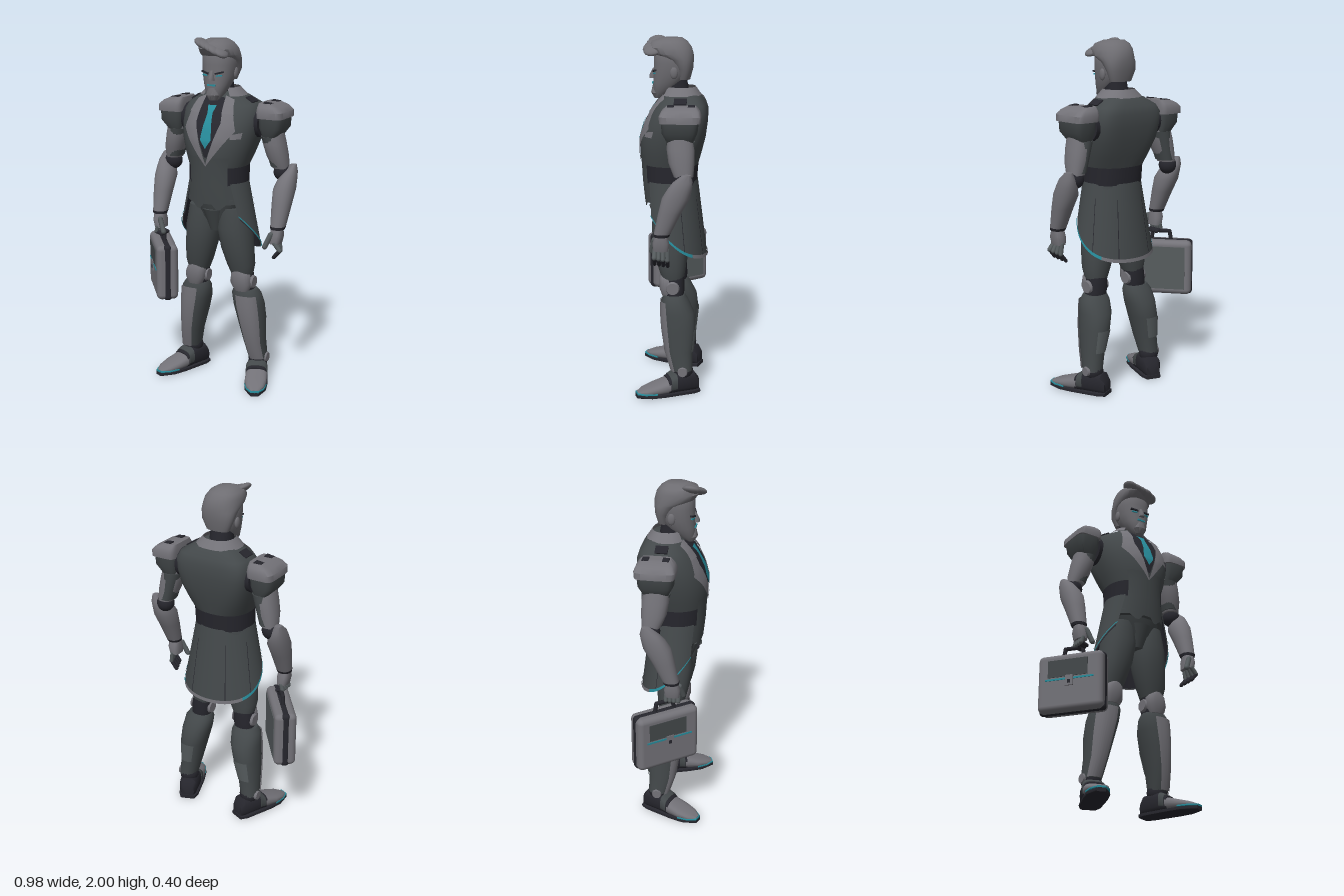
import * as THREE from 'three';
import { toCreasedNormals } from 'three/addons/utils/BufferGeometryUtils.js';
import { RoundedBoxGeometry } from 'three/addons/geometries/RoundedBoxGeometry.js';

const mat = (name, color) => {
  const m = new THREE.MeshStandardMaterial({ color, side: THREE.DoubleSide });
  m.name = name;
  return m;
};
const M = {
  suit: mat('suit charcoal', 0x43484a), light: mat('light grey', 0x737278), dark: mat('near black', 0x26262d),
  teal: mat('teal', 0x278c9b), skin: mat('skin grey', 0x6e6d72), panel: mat('panel grey', 0x565c5e),
};

function add(parent, name, geo, material, pos = [0, 0, 0], rot = [0, 0, 0]) {
  const mesh = new THREE.Mesh(geo, material);
  mesh.name = name;
  mesh.position.set(...pos);
  mesh.rotation.set(...rot);
  parent.add(mesh);
  return mesh;
}

function gridGeo(f, nu, nv, caps = false) {
  const pos = [], idx = [], w = nu + 1;
  for (let j = 0; j <= nv; j++) for (let i = 0; i <= nu; i++) pos.push(...f(i / nu, j / nv, j));
  for (let j = 0; j < nv; j++) for (let i = 0; i < nu; i++) {
    const a = j * w + i, b = a + 1, c = b + w, d = a + w;
    idx.push(a, b, c, a, c, d);
  }
  if (caps) for (let i = 1; i < nu - 1; i++) {
    const t = nv * w;
    idx.push(0, i + 1, i, t, t + i, t + i + 1);
  }
  const g = new THREE.BufferGeometry();
  g.setAttribute('position', new THREE.Float32BufferAttribute(pos, 3));
  g.setIndex(idx);
  return toCreasedNormals(g, 0.75);
}

// Rings go upward: [y, centre x, half width, back z, front z, squareness of the back]
const ringPoint = ([y, cx, rx, zb, zf, pb], a, p, grow = 0) => {
  const s = Math.sin(a), c = Math.cos(a), e = 2 / (c < 0 && pb ? pb : p);
  return [cx + (rx + grow) * Math.sign(s) * Math.abs(s) ** e, y,
    (zb + zf) / 2 + ((zf - zb) / 2 + grow) * Math.sign(c) * Math.abs(c) ** e];
};
function loft(rings, { n = 20, p = 2.3, from = 0, to = Math.PI * 2, grow = 0 } = {}) {
  const closed = to - from > 6.2;
  return gridGeo((u, v, j) => ringPoint(rings[j], from + (to - from) * u, p, grow), n, rings.length - 1, closed);
}
const mirror = (rings, s) => rings.map(([y, cx, ...r]) => [y, cx * s, ...r]);

// Capsule between two points
function rod(parent, name, a, b, r, material) {
  const A = new THREE.Vector3(...a), B = new THREE.Vector3(...b), d = B.clone().sub(A);
  const m = add(parent, name, new THREE.CapsuleGeometry(r, d.length(), 3, 8), material, A.clone().add(B).multiplyScalar(0.5).toArray());
  m.quaternion.setFromUnitVectors(new THREE.Vector3(0, 1, 0), d.normalize());
}

const TORSO = [
  [1.09, 0, 0.185, -0.13, 0.16, 2.3], [1.2, 0, 0.17, -0.13, 0.172, 2.3], [1.3, 0, 0.17, -0.138, 0.178, 2.4],
  [1.36, 0, 0.19, -0.155, 0.185, 3], [1.45, 0, 0.215, -0.178, 0.185, 4], [1.53, 0, 0.226, -0.188, 0.162, 4.5],
  [1.6, 0, 0.226, -0.19, 0.125, 4.5], [1.64, 0, 0.205, -0.178, 0.095, 4], [1.68, 0, 0.14, -0.15, 0.06, 3], [1.71, 0, 0.09, -0.12, 0.045, 2.3],
];
const CHEST_P = 2.1;
// Height of the chest surface, used to lay cloth patches on it
function chestZ(x, y) {
  let k = 0;
  while (k < TORSO.length - 2 && TORSO[k + 1][0] < y) k++;
  const A = TORSO[k], B = TORSO[k + 1], t = (y - A[0]) / (B[0] - A[0]);
  const [, , rx, zb, zf] = A.map((v, i) => v + (B[i] - v) * t);
  return (zb + zf) / 2 + ((zf - zb) / 2) * (Math.max(0, 1 - Math.abs(x / rx) ** CHEST_P)) ** (1 / CHEST_P);
}
// Cloth between two polylines of [x, y]
function patch(parent, name, a, b, off, material) {
  const at = (l, t) => {
    const f = Math.min(t * (l.length - 1), l.length - 1.0001), i = Math.floor(f);
    return l[i].map((v, k) => v + (l[i + 1][k] - v) * (f - i));
  };
  add(parent, name, gridGeo((u, v) => {
    const P = at(a, v), Q = at(b, v), x = P[0] + (Q[0] - P[0]) * u, y = P[1] + (Q[1] - P[1]) * u;
    return [x, y, chestZ(x, y) + off];
  }, 6, 16), material);
}

function buildTorso(body) {
  const cut = (name, i, j, m, o) => add(body, name, loft(TORSO.slice(i, j), { n: 40, p: CHEST_P, ...o }), m);
  cut('waistcoat', 0, 2, M.suit);
  cut('waistBand', 1, 3, M.dark);
  cut('waistcoatFront', 0, 4, M.suit, { from: -0.7, to: 0.7, grow: 0.004 });
  cut('jacket', 2, 10, M.suit);
  patch(body, 'shirt', [[-0.065, 1.68], [-0.08, 1.55], [0, 1.34]], [[0.065, 1.68], [0.08, 1.55], [0, 1.34]], 0.004, M.dark);
  patch(body, 'tie', [[-0.026, 1.64], [-0.015, 1.6], [-0.034, 1.46], [0, 1.41]], [[0.026, 1.64], [0.015, 1.6], [0.034, 1.46], [0, 1.41]], 0.008, M.teal);
  for (const s of [-1, 1]) {
    patch(body, 'lapel', [[0.06 * s, 1.69], [0.075 * s, 1.55], [0, 1.32]], [[0.11 * s, 1.67], [0.155 * s, 1.51], [0, 1.31]], 0.009, M.light);
    patch(body, 'upperLapel', [[0.06 * s, 1.69], [0.07 * s, 1.6]], [[0.11 * s, 1.67], [0.135 * s, 1.6]], 0.014, M.light);
    patch(body, 'waistcoatPoint', [[0, 1.12], [0.05 * s, 1.06]], [[0.14 * s, 1.12], [0.07 * s, 1.06]], 0.003, M.suit);
    add(body, 'shoulderVent', new THREE.BoxGeometry(0.05, 0.008, 0.07), M.dark, [0.17 * s, 1.664, -0.045], [0, 0, -0.55 * s]);
    add(body, 'armhole', new THREE.CylinderGeometry(0.085, 0.085, 0.035, 16), M.dark, [0.222 * s, 1.54, -0.05], [0, 0, Math.PI / 2]);
  }
  patch(body, 'pocketSquare', [[0.13, 1.49], [0.13, 1.465]], [[0.185, 1.5], [0.18, 1.465]], 0.006, M.light);
  add(body, 'collar', loft([[1.685, 0, 0.128, -0.146, 0.065], [1.73, 0, 0.083, -0.115, 0.035]], { from: 0.6, to: 5.68, grow: 0.006 }), M.light);
  add(body, 'neck', loft([[1.62, 0, 0.07, -0.1, 0.04], [1.78, 0, 0.062, -0.07, 0.05]]), M.dark);
  add(body, 'pelvis', loft([[0.92, 0, 0.05, -0.05, 0.07], [1.0, 0, 0.12, -0.1, 0.11], [1.12, 0, 0.165, -0.11, 0.145]]), M.suit);
  add(body, 'crotchPlate', loft([[0.92, 0, 0.035, 0, 0.09], [1.05, 0, 0.07, 0, 0.142]]), M.suit);

  // Coat tails, low at the back and swept up at the sides
  const hem = (a, g) => {
    const z = -0.01 - (0.18 + g) * Math.cos(a), u = z + 0.19;
    return [(0.24 + g) * Math.sin(a), 0.77 + 0.2 * u + 2 * u * u, z];
  };
  const tail = (a, v, g) => {
    const t = [(0.173 + g) * Math.sin(a), 1.21, 0.02 - (0.155 + g) * Math.cos(a)];
    return hem(a, g).map((b, k) => b + (t[k] - b) * v);
  };
  const strip = (name, a0, a1, v0, v1, g, m, n = 24) => add(body, name,
    gridGeo((u, v) => tail(a1 + (a0 - a1) * u, v0 + (v1 - v0) * v, g), n, 6), m);
  strip('coatTails', -2.35, 2.35, 0, 1, 0, M.suit, 40);
  strip('tailLining', -2.3, 2.3, 0, 1, -0.006, M.dark, 40);
  strip('hemTrim', -0.95, 0.95, 0, 0.045, 0.005, M.light);
  for (const s of [-1, 1]) {
    strip('tealHem', 0.95 * s, 2.35 * s, 0, 0.045, 0.004, M.teal);
    strip('tailSeam', 0.48 * s, 0.5 * s, 0.04, 0.8, 0.004, M.dark, 2);
    strip('hipSeam', 1.2 * s, 1.22 * s, 0.04, 0.8, 0.004, M.dark, 2);
  }
}

function buildHead(body) {
  const head = new THREE.Group();
  head.name = 'head';
  body.add(head);
  add(head, 'face', loft([[1.67, 0, 0.03, 0.06, 0.105], [1.7, 0, 0.052, 0.01, 0.117], [1.75, 0, 0.073, -0.05, 0.116],
    [1.8, 0, 0.088, -0.085, 0.113], [1.86, 0, 0.094, -0.1, 0.112], [1.92, 0, 0.093, -0.1, 0.11], [1.96, 0, 0.07, -0.08, 0.09]], { n: 24 }), M.skin);
  add(head, 'nose', loft([[1.775, 0, 0.018, 0.09, 0.138], [1.79, 0, 0.016, 0.09, 0.137], [1.83, 0, 0.009, 0.09, 0.118]], { n: 10 }), M.skin);
  add(head, 'mouth', new THREE.BoxGeometry(0.05, 0.009, 0.008), M.teal, [0, 1.75, 0.116]);
  add(head, 'beard', loft([[1.665, 0, 0.025, 0.07, 0.11], [1.695, 0, 0.042, 0.05, 0.128], [1.735, 0, 0.03, 0.06, 0.119]], { n: 12 }), M.skin);
  for (const s of [-1, 1]) {
    add(head, 'eye', new THREE.BoxGeometry(0.034, 0.007, 0.008), M.teal, [0.042 * s, 1.803, 0.106], [0, 0.3 * s, 0.12 * s]);
    add(head, 'brow', new THREE.BoxGeometry(0.048, 0.009, 0.014), M.dark, [0.042 * s, 1.818, 0.105], [0, 0.3 * s, 0.22 * s]);
    add(head, 'ear', new THREE.SphereGeometry(0.03, 10, 8), M.skin, [0.09 * s, 1.81, -0.005]).scale.set(0.4, 1.1, 0.75);
  }
  // Swept hair: a cap with a crest rising to the right
  add(head, 'hair', loft([[1.77, 0, 0.07, -0.09, -0.02], [1.83, 0, 0.095, -0.106, -0.01], [1.88, 0, 0.104, -0.11, 0.04], [1.91, 0, 0.107, -0.108, 0.115],
    [1.945, -0.004, 0.104, -0.098, 0.14], [1.975, -0.01, 0.088, -0.075, 0.125], [1.995, -0.012, 0.055, -0.045, 0.07]], { n: 24 }), M.skin);
  for (let i = 0; i < 5; i++) {
    const lock = add(head, 'hairLock', new THREE.SphereGeometry(1, 14, 10), M.skin,
      [0.055 - i * 0.03, 1.93 + 0.011 * i, 0.12 - 0.007 * Math.abs(i - 1)], [0.25, 0.3, -0.55]);
    lock.scale.set(0.046, 0.02, 0.052);
  }
}

function buildArm(body, s) {
  const L = (name, rings, m, o) => add(body, name, loft(mirror(rings, s), o), m);
  L('lowerPauldron', [[1.46, 0.295, 0.04, -0.12, 0.015], [1.52, 0.31, 0.07, -0.145, 0.045], [1.585, 0.31, 0.073, -0.152, 0.05]], M.suit, { p: 4 });
  L('upperPauldron', [[1.575, 0.31, 0.078, -0.162, 0.057], [1.61, 0.308, 0.078, -0.165, 0.06], [1.635, 0.296, 0.064, -0.155, 0.047],
    [1.655, 0.275, 0.04, -0.135, 0.025]], M.light, { p: 5.5, n: 24 });
  for (const z of [-0.11, 0.0]) add(body, 'pauldronVent', new THREE.BoxGeometry(0.045, 0.008, 0.036), M.dark, [0.29 * s, 1.655, z], [0, 0, -0.12 * s]);
  L('upperArm', [[1.29, 0.342, 0.046, -0.125, -0.02], [1.36, 0.325, 0.058, -0.13, 0.01], [1.43, 0.308, 0.062, -0.13, 0.02], [1.5, 0.295, 0.06, -0.12, 0.02]], M.light);
  L('innerSleeve', [[1.3, 0.328, 0.04, -0.128, -0.012], [1.47, 0.292, 0.056, -0.132, 0.026]], M.suit);
  add(body, 'elbow', new THREE.SphereGeometry(0.053, 14, 10), M.dark, [0.352 * s, 1.265, -0.075]);
  add(body, 'elbowCap', new THREE.CylinderGeometry(0.032, 0.036, 0.02, 12), M.light, [0.402 * s, 1.265, -0.075], [0, 0, Math.PI / 2]);
  L('forearm', [[0.98, 0.378, 0.042, -0.005, 0.085], [1.1, 0.38, 0.054, -0.065, 0.06], [1.18, 0.381, 0.06, -0.11, 0.04], [1.23, 0.388, 0.051, -0.12, 0.01],
    [1.27, 0.4, 0.035, -0.125, -0.02], [1.31, 0.406, 0.018, -0.115, -0.07]], M.light);
  L('cuff', [[0.967, 0.378, 0.039, 0.002, 0.086], [0.983, 0.378, 0.043, -0.007, 0.087]], M.dark);
  L('palm', [[0.885, 0.37, 0.03, 0.005, 0.09], [0.93, 0.375, 0.036, 0.002, 0.092], [0.97, 0.376, 0.032, 0.015, 0.078]], M.light, { n: 14, p: 3 });
  const grip = s < 0;
  for (let i = 0; i < 4; i++) {
    const z = 0.012 + i * 0.023, low = grip ? 0.86 : 0.835 + 0.006 * i, x = 0.384 + (grip ? 0 : 0.008 * i);
    rod(body, 'finger', [0.376 * s, 0.89, z], [x * s, low, z], 0.013, M.panel);
    rod(body, 'fingertip', [x * s, low, z], [(x - 0.035) * s, low - (grip ? 0.012 : 0.042), z], 0.011, M.dark);
  }
  rod(body, 'thumb', [0.355 * s, 0.94, 0.085], [0.325 * s, 0.87, 0.1], 0.015, M.panel);
}

function buildLeg(body, s) {
  const L = (name, rings, m, o) => add(body, name, loft(mirror(rings, s), o), m);
  L('thigh', [[0.66, 0.14, 0.062, -0.065, 0.06], [0.72, 0.134, 0.08, -0.075, 0.08], [0.82, 0.115, 0.092, -0.085, 0.105], [0.94, 0.1, 0.097, -0.095, 0.12],
    [1.06, 0.095, 0.08, -0.09, 0.11]], M.suit);
  L('knee', [[0.53, 0.155, 0.055, -0.06, 0.04], [0.6, 0.147, 0.062, -0.07, 0.05], [0.7, 0.14, 0.058, -0.065, 0.055]], M.dark);
  L('kneeGuard', [[0.565, 0.152, 0.045, -0.02, 0.058], [0.61, 0.148, 0.062, -0.025, 0.074], [0.665, 0.143, 0.056, -0.025, 0.074], [0.69, 0.14, 0.03, -0.01, 0.068]], M.light, { p: 2.6 });
  for (const k of [-1, 1]) add(body, 'kneeDisc', new THREE.CylinderGeometry(0.034, 0.04, 0.014, 14), M.light, [(0.147 + 0.063 * k) * s, 0.615, -0.005], [0, 0, -k * s * Math.PI / 2]);
  const shin = [[0.14, 0.22, 0.053, -0.12, 0.0], [0.25, 0.205, 0.06, -0.12, 0.035], [0.38, 0.187, 0.077, -0.135, 0.055], [0.47, 0.172, 0.086, -0.125, 0.062],
    [0.54, 0.163, 0.086, -0.09, 0.06], [0.57, 0.158, 0.07, -0.07, 0.05]];
  L('shin', shin, M.suit);
  L('shinGuard', shin.slice(0, 5), M.light, { from: s > 0 ? -0.35 : -1, to: s > 0 ? 1 : 0.35, grow: 0.007 });
  L('calfPlate', [shin[1], shin[2]], M.panel, { from: 2.6, to: 3.68, grow: 0.005 });
  add(body, 'ankle', new THREE.SphereGeometry(0.058, 14, 10), M.dark, [0.217 * s, 0.135, -0.065]);
  add(body, 'ankleDisc', new THREE.CylinderGeometry(0.026, 0.03, 0.016, 12), M.light, [0.273 * s, 0.14, -0.065], [0, 0, -s * Math.PI / 2]);

  // Shoe, lofted along its length
  const shoe = new THREE.Group();
  shoe.name = 'shoe';
  shoe.position.set(0.213 * s, 0, -0.065);
  shoe.rotation.y = 0.38 * s;
  body.add(shoe);
  const S = (name, rings, m, p) => add(shoe, name, loft(rings.map(([l, w, b, t]) => [l, 0, w, -t, -b]), { p }), m, [0, 0, 0], [Math.PI / 2, 0, 0]);
  S('shoeHeel', [[-0.085, 0.04, 0.01, 0.09], [-0.06, 0.054, 0.01, 0.125], [0.04, 0.06, 0.01, 0.13], [0.1, 0.062, 0.01, 0.1]], M.dark, 3);
  S('shoeToe', [[0.09, 0.063, 0.015, 0.096], [0.17, 0.064, 0.015, 0.07], [0.23, 0.05, 0.015, 0.052], [0.272, 0.022, 0.015, 0.034]], M.light, 2.8);
  S('sole', [[-0.09, 0.045, 0, 0.022], [-0.05, 0.06, 0, 0.022], [0.12, 0.067, 0, 0.022], [0.2, 0.062, 0, 0.022], [0.277, 0.025, 0, 0.022]], M.dark, 6);
  S('shoeStrap', [[0.05, 0.064, 0.02, 0.13], [0.085, 0.065, 0.02, 0.111]], M.suit, 3);
  S('tealToeEdge', [[0.17, 0.066, 0.02, 0.032], [0.235, 0.053, 0.02, 0.032], [0.277, 0.024, 0.02, 0.032]], M.teal, 5);
}

function buildCase(model) {
  const box = new THREE.Group();
  box.name = 'briefcase';
  box.position.set(-0.333, 0.635, 0.004);
  box.rotation.y = -0.91;
  model.add(box);
  add(box, 'caseShell', new RoundedBoxGeometry(0.375, 0.33, 0.125, 3, 0.03), M.light);
  add(box, 'caseSeam', new RoundedBoxGeometry(0.381, 0.336, 0.05, 2, 0.02), M.dark);
  add(box, 'caseBackPanel', new THREE.BoxGeometry(0.3, 0.26, 0.008), M.panel, [0, 0, -0.062]);
  add(box, 'caseFrontFlap', new THREE.BoxGeometry(0.23, 0.1, 0.008), M.suit, [-0.01, 0.075, 0.062]);
  add(box, 'caseTealStripe', new THREE.BoxGeometry(0.28, 0.01, 0.008), M.teal, [0, 0.012, 0.062]);
  add(box, 'caseLatch', new THREE.BoxGeometry(0.045, 0.06, 0.014), M.light, [0, 0, 0.064]);
  add(box, 'latchHole', new THREE.BoxGeometry(0.018, 0.02, 0.006), M.dark, [0, -0.008, 0.071]);
  const path = [[-0.06, 0.16, 0], [-0.05, 0.215, 0], [0.05, 0.215, 0], [0.06, 0.16, 0]];
  for (let i = 0; i < 3; i++) rod(box, 'caseHandle', path[i], path[i + 1], 0.012, M.dark);
}

export function createModel() {
  const model = new THREE.Group();
  model.name = 'suitedFigure';
  const body = new THREE.Group();
  body.name = 'body';
  body.position.x = 0.05;
  model.add(body);
  buildTorso(body);
  buildHead(body);
  for (const s of [-1, 1]) {
    buildArm(body, s);
    buildLeg(body, s);
  }
  buildCase(model);
  return model;
}
